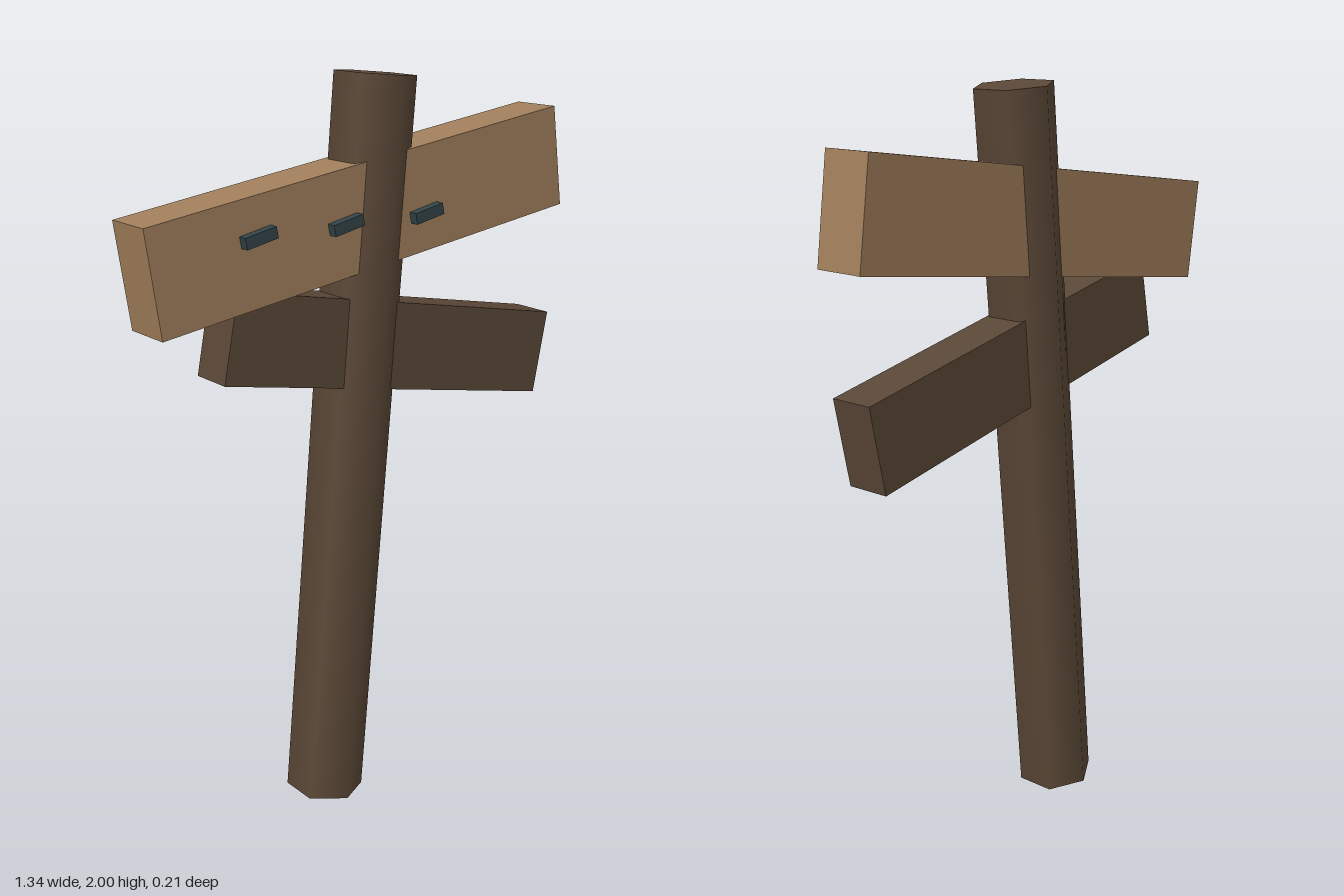
import * as THREE from 'three';

const paleWood = new THREE.MeshStandardMaterial({ name: 'paleWood', color: 0xa07e5b });
const darkWood = new THREE.MeshStandardMaterial({ name: 'darkWood', color: 0x5a4736 });
const iron = new THREE.MeshStandardMaterial({ name: 'iron', color: 0x324347 });

// Box placed by its centre and tilted in the front plane
function plank(name, material, size, position, tilt) {
  const mesh = new THREE.Mesh(new THREE.BoxGeometry(...size), material);
  mesh.name = name;
  mesh.position.set(...position);
  mesh.rotation.z = tilt;
  return mesh;
}

export function createModel() {
  const sign = new THREE.Group();
  sign.name = 'signpost';

  // Leaning six-sided post with softly shaded sides
  const post = new THREE.Mesh(new THREE.CylinderGeometry(0.107, 0.107, 1.99, 6), darkWood);
  post.name = 'post';
  post.position.set(-0.031, 1, 0);
  post.rotation.z = -0.09;
  sign.add(post);

  // Two crossed boards running through the post
  sign.add(plank('upperBoard', paleWood, [1.318, 0.275, 0.14], [-0.002, 1.647, 0], 0.141));
  sign.add(plank('lowerBoard', darkWood, [1.082, 0.234, 0.122], [0.093, 1.285, 0], -0.196));

  // Three iron pegs across the front of the upper board
  for (let i = 0; i < 3; i++) {
    sign.add(plank('peg' + (i + 1), iron, [0.093, 0.03, 0.04], [-0.364 + i * 0.265, 1.635, 0.075], 0.2));
  }
  return sign;
}
